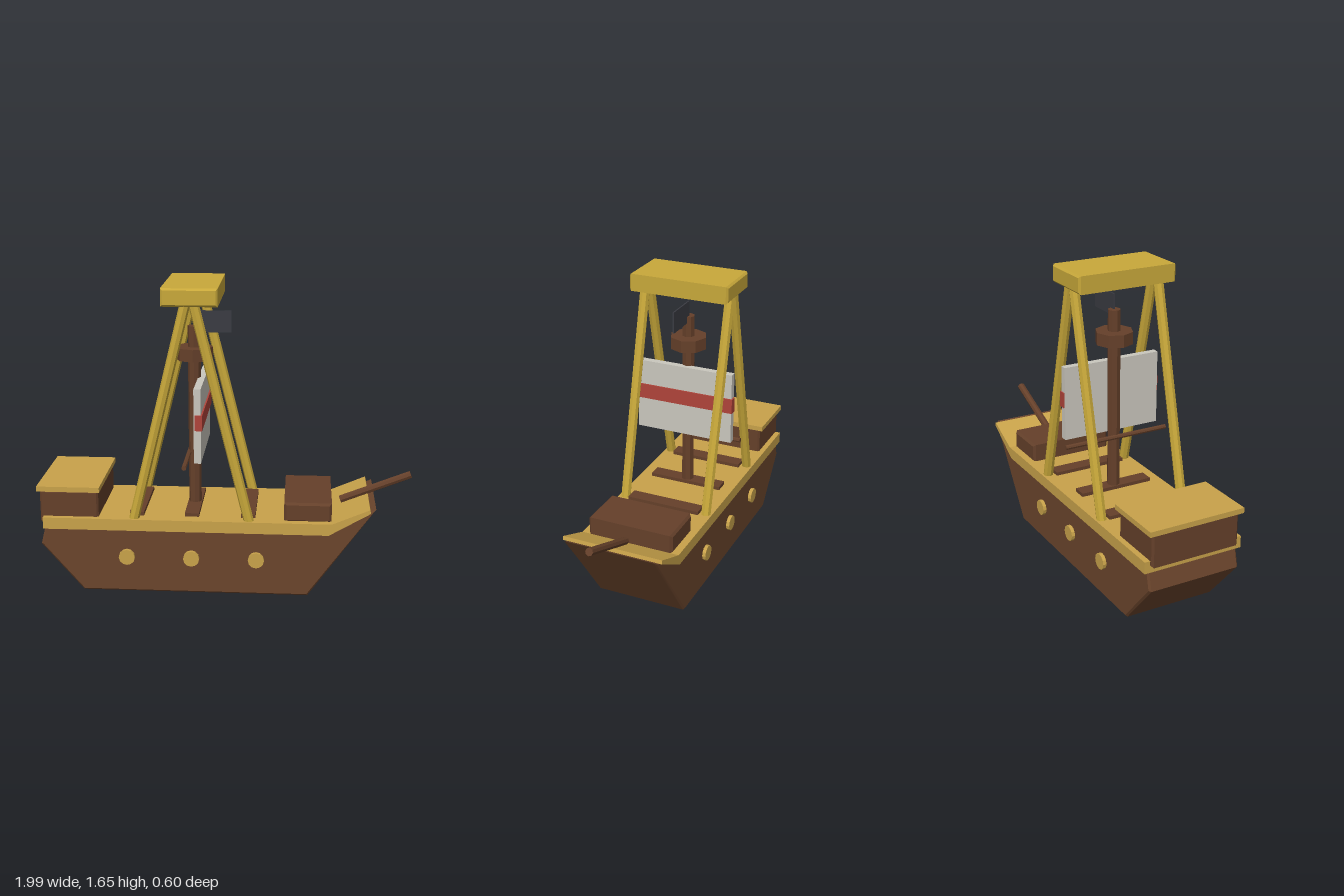
import * as THREE from 'three';

const mat = (name, color, side = THREE.FrontSide) => {
  const m = new THREE.MeshStandardMaterial({ color, side });
  m.name = name;
  return m;
};

export function createModel() {
  const ship = new THREE.Group();
  ship.name = 'ship';
  const hullBrown = mat('hullBrown', 0x6b452c);
  const darkBrown = mat('darkBrown', 0x65402a);
  const deckWood = mat('deckWood', 0xc8a24a);
  const yellow = mat('yellow', 0xc8a83a);
  const canvas = mat('canvas', 0xcac7be);
  const red = mat('red', 0xb0443a);
  const slate = mat('slate', 0x3a3b42);
  const MX = -0.18; // mast position along the ship

  // Adds a faceted mesh
  const add = (name, geo, material) => {
    const g = geo.index ? geo.toNonIndexed() : geo;
    g.computeVertexNormals();
    const mesh = new THREE.Mesh(g, material);
    mesh.name = name;
    ship.add(mesh);
    return mesh;
  };
  // Side profile extruded across the ship, with an optional chamfer
  const slab = (name, pts, halfWidth, bevel, material) => {
    const shape = new THREE.Shape(pts.map(p => new THREE.Vector2(...p)));
    const geo = new THREE.ExtrudeGeometry(shape, {
      depth: 2 * (halfWidth - bevel), bevelEnabled: bevel > 0, bevelSize: bevel,
      bevelThickness: bevel, bevelOffset: -bevel, bevelSegments: 1,
    });
    geo.translate(0, 0, bevel - halfWidth);
    return add(name, geo, material);
  };
  // Box from x and y ranges, symmetric in z
  const box = (name, x0, x1, y0, y1, halfWidth, material, bevel = 0) =>
    slab(name, [[x0, y0], [x1, y0], [x1, y1], [x0, y1]], halfWidth, bevel, material);
  // Straight pole between two points
  const pole = (name, a, b, radius, material, sides = 8) => {
    const p = new THREE.Vector3(...a), q = new THREE.Vector3(...b);
    const mesh = add(name, new THREE.CylinderGeometry(radius, radius, p.distanceTo(q), sides), material);
    mesh.position.copy(p).add(q).multiplyScalar(0.5);
    mesh.quaternion.setFromUnitVectors(new THREE.Vector3(0, 1, 0), q.sub(p).normalize());
    return mesh;
  };

  // Hull and deck
  slab('hull', [[-0.765, 0], [0.44, 0], [0.79, 0.497], [0.54, 0.375], [-0.96, 0.375], [-0.988, 0.26]],
    0.256, 0.01, hullBrown);
  slab('deck', [[-0.97, 0.355], [0.545, 0.355], [0.762, 0.483], [0.757, 0.503], [0.56, 0.418], [-0.97, 0.418]],
    0.275, 0, deckWood);
  for (const dx of [-0.345, 0, 0.345])
    for (const s of [-1, 1])
      pole('porthole', [MX + dx, 0.202, s * 0.24], [MX + dx, 0.202, s * 0.275], 0.043, deckWood, 12);

  // Stern cabin and bow locker
  box('cabin', -0.988, -0.675, 0.385, 0.56, 0.245, darkBrown, 0.01);
  box('cabinRoof', -1, -0.665, 0.56, 0.588, 0.265, deckWood);
  box('bowLocker', 0.31, 0.56, 0.41, 0.517, 0.237, darkBrown, 0.012);
  pole('bowsprit', [0.61, 0.462, 0], [0.985, 0.612, 0], 0.021, darkBrown);

  // Cross planks on the deck
  for (const dx of [-0.295, 0, 0.3])
    box('deckPlank', MX + dx - 0.038, MX + dx + 0.038, 0.41, 0.437, 0.207, darkBrown);

  // Mast, lookout, yard and flag
  pole('mast', [MX, 0.41, 0], [MX, 1.41, 0], 0.034, darkBrown);
  pole('lookout', [MX, 1.232, 0], [MX, 1.298, 0], 0.1, darkBrown);
  pole('yard', [-0.21, 0.718, -0.3], [-0.21, 0.718, 0.3], 0.013, darkBrown);
  box('flag', MX, 0.017, 1.375, 1.49, 0.004, slate);

  // Sail with its stripe
  box('sail', -0.16, -0.123, 0.737, 1.133, 0.275, canvas);
  box('sailStripe', -0.155, -0.115, 0.914, 0.996, 0.281, red);

  // Gantry: two A-frames carrying a beam
  for (const z of [-0.24, 0.24])
    for (const s of [-1, 1])
      pole('gantryLeg', [MX + s * 0.305, 0.412, z], [MX + s * 0.02, 1.57, z], 0.027, yellow);
  box('gantryBeam', -0.323, -0.035, 1.553, 1.646, 0.275, yellow, 0.01);

  return ship;
}
